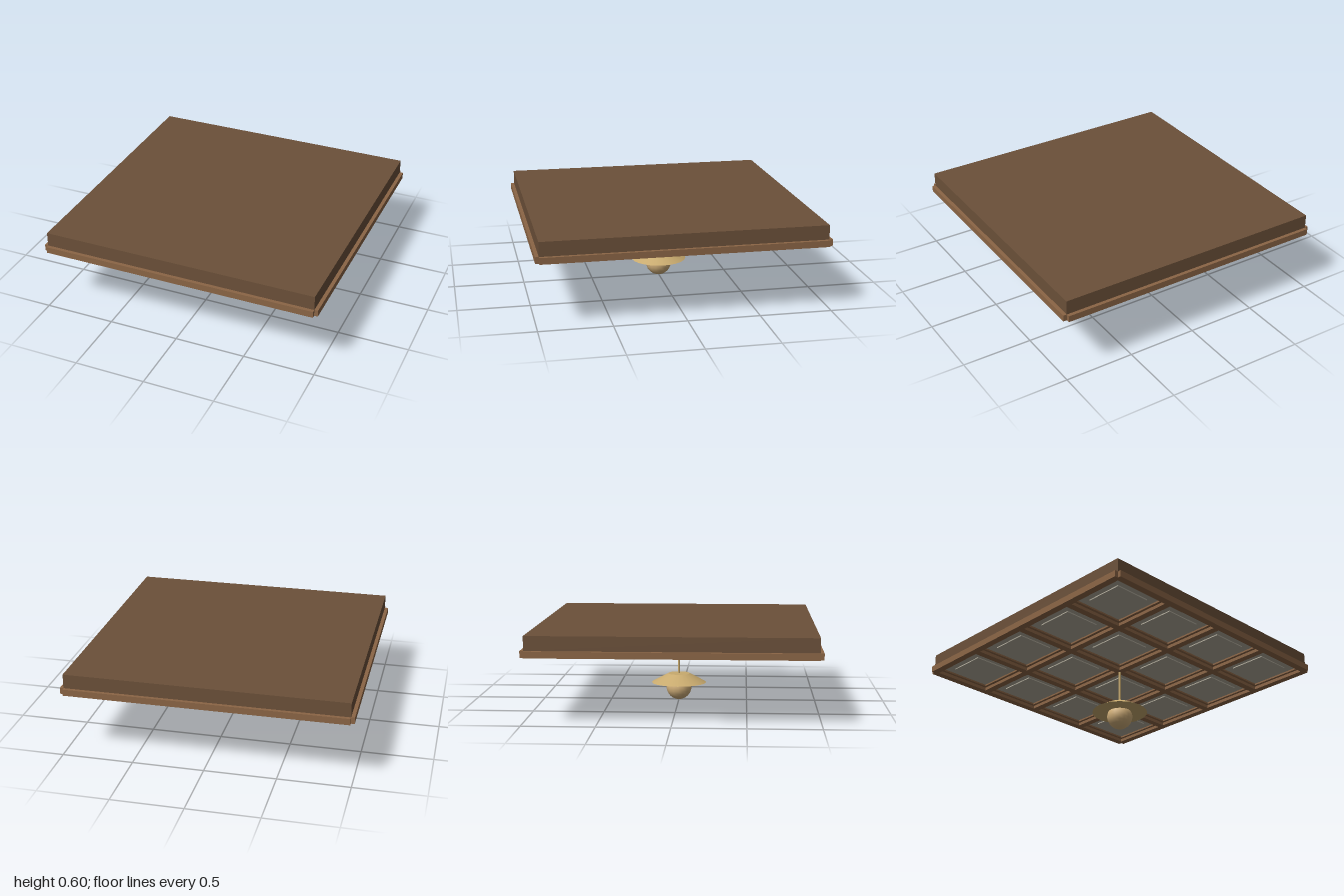
import * as THREE from 'three';

export function createModel() {
  const root = new THREE.Group();
  root.name = 'cofferedCeiling';

  const material = (name, color) => {
    const m = new THREE.MeshStandardMaterial({ color });
    m.name = name;
    return m;
  };
  const darkWood = material('dark wood', 0x6b5039);
  const wood = material('beam wood', 0x8b6545);
  const plaster = material('grey plaster', 0xb0aa9a);
  const brass = material('brass', 0xc8aa6e);
  const glow = material('warm globe', 0xd2b07a);

  const add = (parent, name, geometry, mat, x, y, z) => {
    const mesh = new THREE.Mesh(geometry, mat);
    mesh.name = name;
    mesh.position.set(x, y, z);
    parent.add(mesh);
    return mesh;
  };
  const box = (parent, name, mat, w, h, d, x, y, z) =>
    add(parent, name, new THREE.BoxGeometry(w, h, d), mat, x, y, z);

  const span = 1.95, cells = 4, pitch = span / cells;
  const beamWidth = 0.05, slabBottom = 0.5, beamDrop = 0.045;

  // Ceiling slab
  box(root, 'slab', darkWood, span, 0.1, span, 0, slabBottom + 0.05, 0);

  // Beam grid, outer beams straddling the slab edges
  const beams = new THREE.Group();
  beams.name = 'beams';
  root.add(beams);
  for (let i = 0; i <= cells; i++) {
    const p = -span / 2 + i * pitch;
    const y = slabBottom - beamDrop / 2;
    box(beams, 'crossBeam', wood, span, beamDrop, beamWidth, 0, y, p);
    box(beams, 'longBeam', wood, beamWidth, beamDrop, span, p, y, 0);
  }

  // Coffers: moulding, recessed panel and raised centre
  const clear = pitch - beamWidth, trim = 0.02, trimDrop = 0.022;
  for (let i = 0; i < cells; i++) {
    for (let j = 0; j < cells; j++) {
      const coffer = new THREE.Group();
      coffer.name = 'coffer';
      coffer.position.set((i - 1.5) * pitch, slabBottom, (j - 1.5) * pitch);
      root.add(coffer);
      box(coffer, 'panel', plaster, clear - 2 * trim, 0.01, clear - 2 * trim, 0, -0.005, 0);
      box(coffer, 'raisedPanel', plaster, 0.27, 0.008, 0.27, 0, -0.014, 0);
      for (const s of [-1, 1]) {
        const p = s * (clear - trim) / 2;
        box(coffer, 'mouldingAcross', wood, clear, trimDrop, trim, 0, -trimDrop / 2, p);
        box(coffer, 'mouldingAlong', wood, trim, trimDrop, clear - 2 * trim, p, -trimDrop / 2, 0);
      }
    }
  }

  // Pendant lamp
  const lamp = new THREE.Group();
  lamp.name = 'pendantLamp';
  root.add(lamp);
  add(lamp, 'rod', new THREE.CylinderGeometry(0.008, 0.008, 0.31, 8), brass, 0, 0.345, 0);
  add(lamp, 'shade', new THREE.CylinderGeometry(0.08, 0.2, 0.066, 24), brass, 0, 0.161, 0);
  add(lamp, 'globe', new THREE.SphereGeometry(0.093, 16, 12), glow, 0, 0.097, 0);

  // Settle the globe on the ground plane
  root.updateMatrixWorld(true);
  const low = new THREE.Box3().setFromObject(root).min.y;
  lamp.children[2].position.y -= low;
  return root;
}
